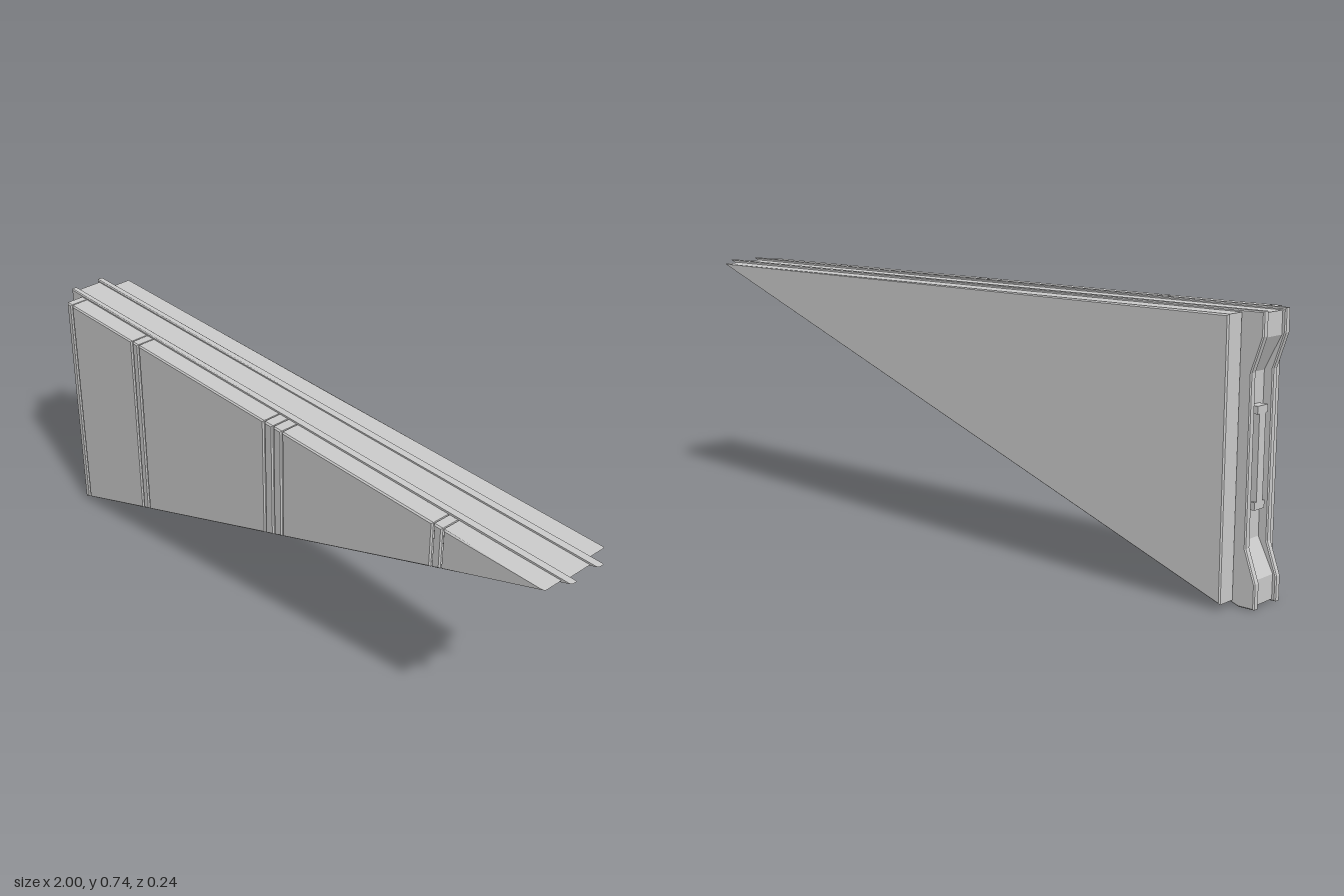
import * as THREE from 'three';

const material = new THREE.MeshStandardMaterial({ color: 0xcccccc });
const SLOPE = 0.3764;

// Extrudes an outline in x/y between two depths, with small chamfers kept inside the outline.
function slab(name, points, z0, z1, bevel) {
  const shape = new THREE.Shape(points.map(([x, y]) => new THREE.Vector2(x, y)));
  const geometry = new THREE.ExtrudeGeometry(shape, {
    depth: z1 - z0 - 2 * bevel,
    bevelEnabled: true, bevelSize: bevel, bevelThickness: bevel,
    bevelOffset: -bevel, bevelSegments: 1,
  });
  geometry.translate(0, 0, z0 + bevel);
  const mesh = new THREE.Mesh(geometry, material);
  mesh.name = name;
  return mesh;
}

function box(name, w, h, d, x, y, z) {
  const mesh = new THREE.Mesh(new THREE.BoxGeometry(w, h, d), material);
  mesh.name = name;
  mesh.position.set(x, y, z);
  return mesh;
}

export function createModel() {
  const model = new THREE.Group();
  model.name = 'wedgePanel';

  // Core between the flanges, with a recess in its short end
  model.add(slab('core', [
    [-0.99, 0.005], [-0.95, 0.005], [0.975, 0.73], [-0.99, 0.73],
    [-0.99, 0.67], [-0.945, 0.58], [-0.945, 0.16], [-0.99, 0.07],
  ], -0.045, 0.045, 0.001));

  // Grip bar and its end blocks inside the recess
  const grip = new THREE.Group();
  grip.name = 'grip';
  grip.add(box('gripBar', 0.025, 0.22, 0.028, -0.957, 0.37, 0));
  for (const y of [0.25, 0.49]) grip.add(box('gripBlock', 0.025, 0.02, 0.045, -0.957, y, 0));
  model.add(grip);

  // Two thin flanges that stand proud all round, cut back along the short end
  const flange = [
    [-1, 0], [-0.955, 0], [1, 0.736], [-1, 0.736],
    [-1, 0.675], [-0.97, 0.585], [-0.97, 0.15], [-1, 0.065],
  ];
  model.add(slab('frontFlange', flange, 0.04, 0.06, 0.003));
  model.add(slab('backFlange', flange, -0.058, -0.037, 0.003));

  // Plain back board
  model.add(slab('backBoard', [
    [-0.94, 0.015], [0.955, 0.73], [-0.94, 0.73],
  ], -0.118, -0.057, 0.004));

  // Front boards and narrow battens, divided by fine seams
  const top = 0.731;
  const tip = 0.97;
  const low = (x) => top - SLOPE * (tip - x);
  const seams = [-0.942, -0.918, -0.612, -0.582, -0.02, 0.016, 0.052, 0.613, 0.645, tip];
  const gap = 0.002;
  for (let i = 0; i < seams.length - 1; i++) {
    const last = i === seams.length - 2;
    const x0 = seams[i] + (i ? gap : 0);
    const x1 = seams[i + 1] - (last ? 0 : gap);
    const points = [[x0, low(x0)], [x1, low(x1)]];
    if (!last) points.push([x1, top]);
    points.push([x0, top]);
    const name = x1 - x0 < 0.05 ? 'frontBatten' : 'frontBoard';
    model.add(slab(name, points, 0.058, 0.119, 0.004));
  }

  return model;
}
